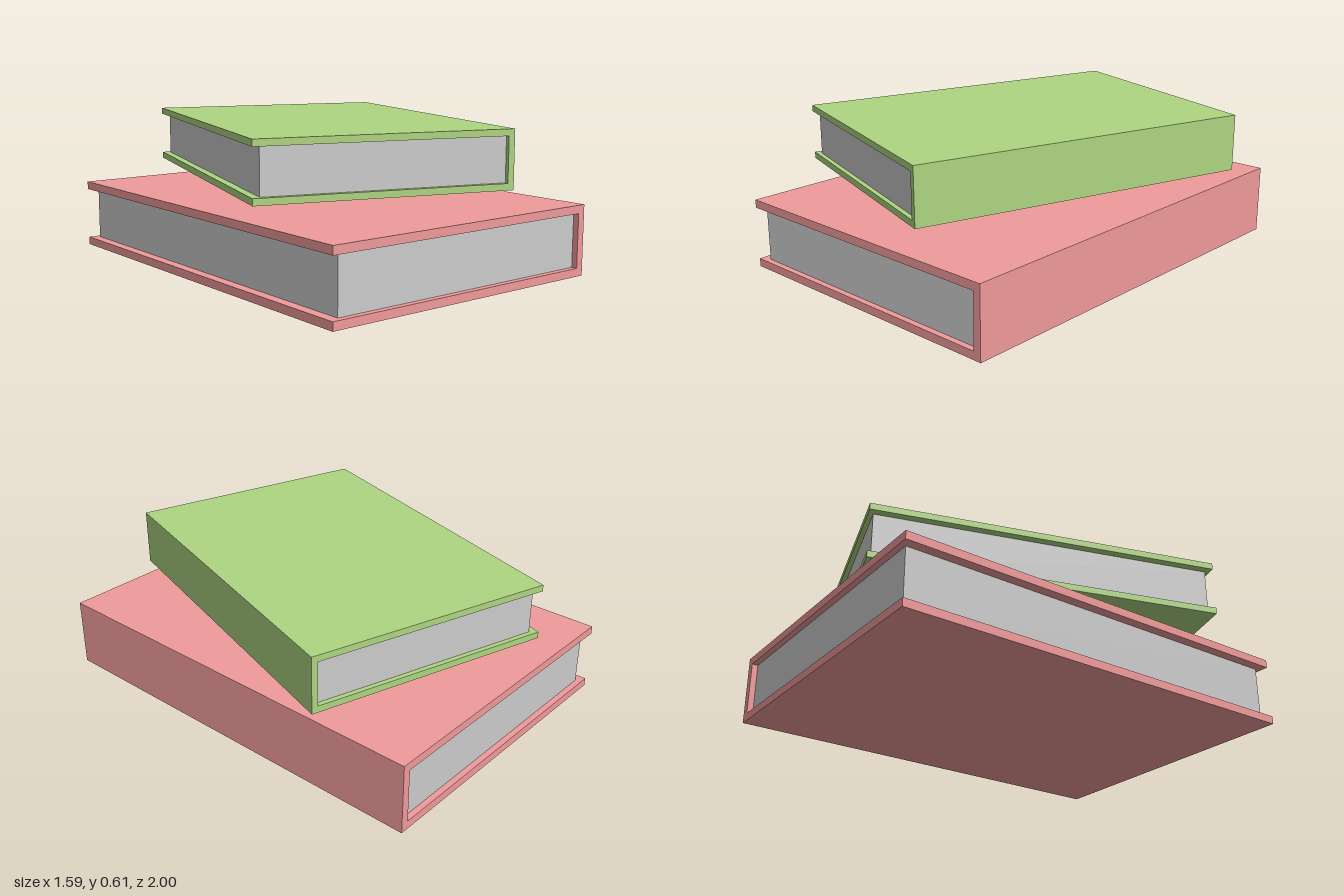
import * as THREE from 'three';

// A closed hardback lying flat, spine towards +x.
function makeBook({ name, color, width, depth, height, cover, spine, insetX, insetZ }) {
  const book = new THREE.Group();
  book.name = name;
  const coverMat = new THREE.MeshStandardMaterial({ color });
  const pageMat = new THREE.MeshStandardMaterial({ color: 0xcccccc });

  const addBox = (partName, mat, w, h, d, x, y) => {
    const mesh = new THREE.Mesh(new THREE.BoxGeometry(w, h, d), mat);
    mesh.name = partName;
    mesh.position.set(x, y, 0);
    book.add(mesh);
  };

  const inner = height - 2 * cover;
  // Cover boards and the spine between them
  addBox('bottomCover', coverMat, width, cover, depth, 0, cover / 2);
  addBox('topCover', coverMat, width, cover, depth, 0, height - cover / 2);
  addBox('spine', coverMat, spine, inner, depth, width / 2 - spine / 2, height / 2);
  // Page block, set back from the three open edges
  const pagesWidth = width - spine - insetX;
  addBox('pages', pageMat, pagesWidth, inner, depth - 2 * insetZ, (insetX - spine) / 2, height / 2);
  return book;
}

export function createModel() {
  const model = new THREE.Group();
  model.name = 'bookStack';

  const lower = makeBook({
    name: 'lowerBook', color: 0xef9a9a, width: 1.287, depth: 1.79, height: 0.291,
    cover: 0.034, spine: 0.033, insetX: 0.041, insetZ: 0.025,
  });
  lower.rotation.y = 0.185;

  const upper = makeBook({
    name: 'upperBook', color: 0xaed581, width: 1.036, depth: 1.449, height: 0.235,
    cover: 0.027, spine: 0.025, insetX: 0.032, insetZ: 0.02,
  });
  upper.position.y = 0.378;
  upper.rotation.y = -0.121;

  model.add(lower, upper);
  return model;
}
